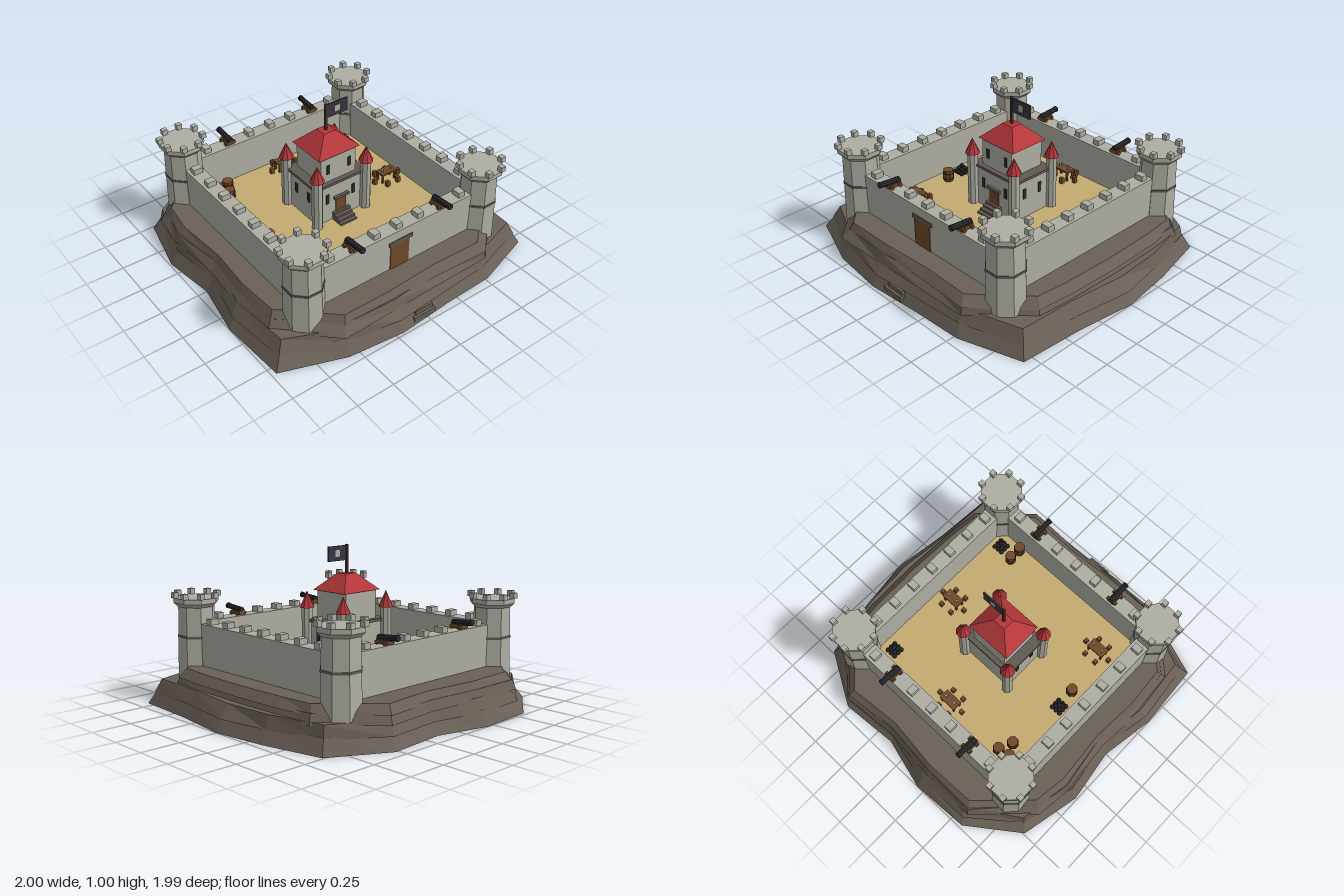
import * as THREE from 'three';

const mat = (name, color) => Object.assign(new THREE.MeshStandardMaterial({ color }), { name });
const M = {
  stone: mat('stone', 0xaeaea3), dark: mat('darkStone', 0x605a53), rock: mat('rock', 0x6a6057),
  sand: mat('sand', 0xc4aa72), wood: mat('wood', 0x704828), pole: mat('darkWood', 0x4a3020),
  roof: mat('roofRed', 0xb4373a), iron: mat('iron', 0x29292d), cloth: mat('flagCloth', 0x35363f),
};
const CX = -0.023, CZ = 0.013, FLOOR = 0.25, WALL = 0.51;

// Faceted mesh added to a parent
function add(parent, name, geo, material, x = 0, y = 0, z = 0) {
  const g = geo.index ? geo.toNonIndexed() : geo;
  g.computeVertexNormals();
  const m = new THREE.Mesh(g, material);
  m.name = name;
  m.position.set(x, y, z);
  parent.add(m);
  return m;
}
// Box standing on y
const box = (p, name, m, w, h, d, x, y, z) => add(p, name, new THREE.BoxGeometry(w, h, d), m, x, y + h / 2, z);
// Prism from y0 to y1 with flat sides facing the axes
function prism(p, name, m, rTop, rBot, y0, y1, x = 0, z = 0, n = 8) {
  const g = new THREE.CylinderGeometry(rTop, rBot, y1 - y0, n).rotateY(Math.PI / n);
  return add(p, name, g, m, x, (y0 + y1) / 2, z);
}
function group(parent, name, x = 0, y = 0, z = 0) {
  const g = new THREE.Group();
  g.name = name;
  g.position.set(x, y, z);
  parent.add(g);
  return g;
}

// Irregular stratum lofted between two rings, closed with caps
function stratum(parent, name, bottom, top, y0, y1) {
  const pos = [], n = bottom.length;
  const b = i => [bottom[i % n][0], y0, bottom[i % n][1]];
  const t = i => [top[i % n][0], y1, top[i % n][1]];
  for (let i = 0; i < n; i++) {
    pos.push(...b(i), ...t(i), ...t(i + 1), ...b(i), ...t(i + 1), ...b(i + 1));
    pos.push(0, y1, 0, ...t(i + 1), ...t(i), 0, y0, 0, ...b(i), ...b(i + 1));
  }
  const g = new THREE.BufferGeometry();
  g.setAttribute('position', new THREE.Float32BufferAttribute(pos, 3));
  add(parent, name, g, M.rock);
}

function buildRock(root) {
  const rock = group(root, 'rockBase');
  // Rings run clockwise as seen from above
  const foot = [[-.58, -.98], [-.2, -1], [.14, -.91], [.52, -.94], [.87, -.74], [.955, -.35], [1, 0], [.95, .4], [.925, .81],
    [.52, .94], [.17, .955], [-.2, .985], [-.57, .945], [-.97, .8], [-1, .36], [-.94, 0], [-.99, -.35], [-.905, -.74]];
  const crest = [[-.54, -.86], [-.2, -.87], [.14, -.83], [.49, -.86], [.79, -.57], [.81, -.35], [.82, 0], [.81, .35], [.79, .57],
    [.49, .85], [.15, .84], [-.2, .86], [-.54, .86], [-.84, .58], [-.86, .3], [-.84, 0], [-.87, -.35], [-.84, -.57]];
  let seed = 7;
  const rand = () => (seed = (seed * 16807) % 2147483647) / 2147483647;
  const ring = (pts, s, j) => pts.map(([x, z]) => {
    const k = s + (rand() - 0.5) * j;
    return [x * k, z * k];
  });
  stratum(rock, 'lowerStratum', foot, ring(foot, 0.945, 0.02), 0, 0.09);
  stratum(rock, 'middleStratum', ring(foot, 0.96, 0.03), ring(foot, 0.925, 0.03), 0.075, 0.157);
  stratum(rock, 'upperStratum', ring(crest, 1.07, 0.03), ring(crest, 1.035, 0.03), 0.14, 0.2);
  stratum(rock, 'crestStratum', ring(crest, 1.045, 0.03), crest, 0.19, 0.245);
  box(rock, 'lowerStep', M.rock, 0.16, 0.035, 0.12, -0.025, 0.012, 0.912);
  box(rock, 'upperStep', M.rock, 0.13, 0.03, 0.1, -0.02, 0.047, 0.905);
}

function buildTower(parent, x, z) {
  const t = group(parent, 'cornerTower', x, 0, z);
  prism(t, 'towerShaft', M.stone, 0.115, 0.126, 0.155, 0.63);
  prism(t, 'towerBand', M.dark, 0.124, 0.124, 0.415, 0.43);
  prism(t, 'towerCorbel', M.stone, 0.143, 0.118, 0.61, 0.635);
  prism(t, 'towerCap', M.stone, 0.143, 0.143, 0.635, 0.665);
  for (let i = 0; i < 8; i++) {
    const a = (i + 0.5) * Math.PI / 4;
    box(t, 'towerMerlon', M.stone, 0.034, 0.035, 0.034, 0.135 * Math.cos(a), 0.665, 0.135 * Math.sin(a));
  }
}

// Cannon pointing along +z
function buildCannon(parent, x, z) {
  const c = group(parent, 'cannon', x, WALL, z);
  box(c, 'carriage', M.wood, 0.046, 0.024, 0.09, 0, 0.004, 0);
  for (const sx of [-1, 1]) for (const sz of [-1, 1]) {
    add(c, 'wheel', new THREE.CylinderGeometry(0.013, 0.013, 0.014, 8).rotateZ(Math.PI / 2), M.wood, sx * 0.03, 0.013, sz * 0.03);
  }
  const gun = group(c, 'gun', 0, 0.041, 0.03);
  gun.rotation.x = -0.1;
  const tube = (name, r0, r1, len, at) =>
    add(gun, name, new THREE.CylinderGeometry(r1, r0, len, 8).rotateX(Math.PI / 2), M.iron, 0, 0, at);
  tube('barrel', 0.02, 0.018, 0.15, 0);
  tube('muzzleRing', 0.02, 0.02, 0.014, 0.067);
  tube('breechRing', 0.021, 0.021, 0.014, -0.05);
}

function buildWalls(root) {
  const w = group(root, 'curtainWall', CX, 0, CZ);
  for (let side = 0; side < 4; side++) {
    const s = group(w, 'wallSide');
    s.rotation.y = side * Math.PI / 2;
    box(s, 'wall', M.stone, 1.24, WALL - 0.2, 0.1, 0, 0.2, 0.655);
    for (let i = -3; i <= 3; i++) {
      if (side % 2 === 0 && Math.abs(i) === 2) buildCannon(s, i * 0.164, 0.66);
      else box(s, 'wallMerlon', M.stone, 0.046, 0.036, 0.06, i * 0.164, WALL, 0.657);
    }
  }
  for (const sx of [-1, 1]) for (const sz of [-1, 1]) buildTower(w, sx * 0.66, sz * 0.655);
  box(w, 'gate', M.wood, 0.14, 0.185, 0.015, -0.005, 0.24, 0.702);
  box(w, 'gateLintel', M.dark, 0.176, 0.026, 0.02, 0, 0.423, 0.702);
  box(w, 'courtyardFloor', M.sand, 1.22, 0.02, 1.22, 0, FLOOR - 0.02, 0);
}

function buildKeep(root) {
  const k = group(root, 'keep', -0.023, 0, -0.01);
  box(k, 'lowerStorey', M.stone, 0.36, 0.28, 0.3, 0, 0.24, 0);
  box(k, 'ledge', M.dark, 0.396, 0.018, 0.32, 0, 0.517, 0);
  box(k, 'upperStorey', M.stone, 0.262, 0.185, 0.256, 0, 0.533, 0);
  // Hipped roof with a flat top
  const roof = new THREE.CylinderGeometry(0.043, 0.155, 0.105, 4).rotateY(Math.PI / 4);
  roof.scale(Math.SQRT2, 1, Math.SQRT2 * 0.9);
  add(k, 'roof', roof, M.roof, 0, 0.7675, 0);
  for (const sx of [-1, 1]) for (const sz of [-1, 1]) {
    prism(k, 'turret', M.stone, 0.036, 0.036, 0.24, 0.61, sx * 0.187, sz * 0.162);
    prism(k, 'turretRoof', M.roof, 0.001, 0.048, 0.605, 0.708, sx * 0.187, sz * 0.162);
  }
  for (const s of [-1, 1]) {
    box(k, 'upperWindow', M.iron, 0.024, 0.065, 0.008, s * 0.08, 0.592, 0.129);
    box(k, 'frontWindow', M.iron, 0.024, 0.07, 0.008, s * 0.1, 0.385, 0.151);
    for (const z of [-0.065, 0.065]) box(k, 'sideWindow', M.iron, 0.008, 0.07, 0.024, s * 0.181, 0.385, z);
  }
  // Entrance and steps
  box(k, 'keepDoor', M.wood, 0.08, 0.1, 0.012, 0, 0.305, 0.151);
  box(k, 'keepLintel', M.dark, 0.11, 0.018, 0.026, 0, 0.403, 0.156);
  for (let i = 0; i < 4; i++) {
    box(k, 'step', M.dark, 0.126, 0.015 * (4 - i), 0.024, 0, FLOOR - 0.003, 0.16 + i * 0.0235);
  }
  // Flag
  box(k, 'flagpole', M.pole, 0.015, 0.2, 0.015, -0.002, 0.8, 0);
  box(k, 'flag', M.cloth, 0.15, 0.093, 0.01, 0.084, 0.901, 0);
  box(k, 'flagPatch', M.stone, 0.037, 0.042, 0.014, 0.082, 0.927, 0);
}

function buildTable(parent, x, z) {
  const t = group(parent, 'table', x, FLOOR, z);
  box(t, 'tableTop', M.wood, 0.123, 0.012, 0.07, 0, 0.06, 0);
  for (const sx of [-1, 1]) {
    for (const sz of [-1, 1]) {
      box(t, 'tableLeg', M.wood, 0.012, 0.06, 0.012, sx * 0.05, 0, sz * 0.025);
      box(t, 'stool', M.wood, 0.025, 0.04, 0.025, sx * 0.043, 0, sz * 0.068);
    }
    box(t, 'endStool', M.wood, 0.025, 0.04, 0.025, sx * 0.096, 0, 0);
    prism(t, 'cup', M.stone, 0.009, 0.008, 0.072, 0.088, sx * 0.035, 0, 6);
  }
}

function buildBarrel(parent, x, z) {
  const b = group(parent, 'barrel', x, FLOOR, z);
  const pts = [[0, 0], [0.033, 0], [0.038, 0.04], [0.035, 0.08], [0, 0.08]].map(p => new THREE.Vector2(...p));
  add(b, 'staves', new THREE.LatheGeometry(pts, 8, Math.PI / 8), M.wood);
  for (const y of [0.018, 0.054]) prism(b, 'hoop', M.iron, 0.038, 0.038, y, y + 0.008);
}

// Pyramid of cannonballs
function buildBalls(parent, x, z) {
  const p = group(parent, 'cannonballs', x, FLOOR, z);
  const d = 0.03;
  for (let n = 3; n > 0; n--) for (let i = 0; i < n; i++) for (let j = 0; j < n; j++) {
    add(p, 'ball', new THREE.SphereGeometry(0.016, 8, 6), M.iron,
      (i - (n - 1) / 2) * d, 0.015 + (3 - n) * 0.021, (j - (n - 1) / 2) * d);
  }
}

export function createModel() {
  const root = new THREE.Group();
  root.name = 'fortress';
  buildRock(root);
  buildWalls(root);
  buildKeep(root);
  const yard = group(root, 'courtyardItems', 0, 0, 0.005);
  for (const [x, z] of [[-0.02, -0.497], [0.455, 0.01], [-0.465, 0.406]]) buildTable(yard, x, z);
  for (const [x, z] of [[-0.53, -0.497], [-0.453, -0.51], [-0.492, -0.423], [-0.53, 0.086], [0.39, 0.492], [0.39, 0.578]]) {
    buildBarrel(yard, x, z);
  }
  for (const [x, z] of [[0.494, -0.497], [-0.54, -0.043], [0.503, 0.519]]) buildBalls(yard, x, z);
  return root;
}
